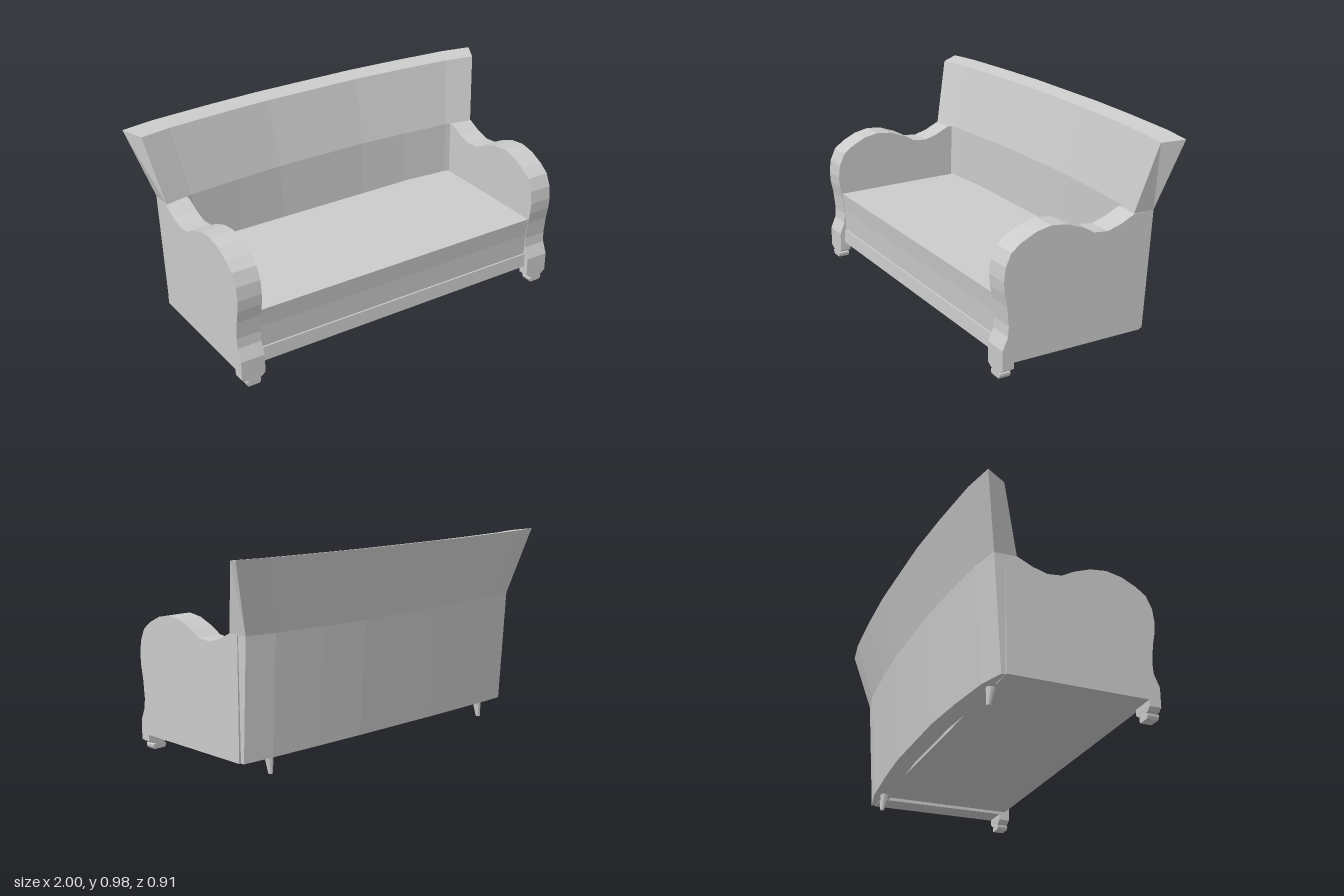
import * as THREE from 'three';

const material = new THREE.MeshStandardMaterial({ color: 0xcccccc, flatShading: true });

function add(parent, name, geometry) {
  const mesh = new THREE.Mesh(geometry, material);
  mesh.name = name;
  parent.add(mesh);
  return mesh;
}

function extrude(points, depth) {
  const shape = new THREE.Shape(points.map(([a, b]) => new THREE.Vector2(a, b)));
  return new THREE.ExtrudeGeometry(shape, { depth, bevelEnabled: false });
}

// Extrude a side profile of [z, y] points across x, ending at xMax
function sideExtrude(points, xMax, width) {
  return extrude(points, width).rotateY(-Math.PI / 2).translate(xMax, 0, 0);
}

// Bowed, flaring backrest lofted from one cross-section per station
function backrestGeometry() {
  const stations = [[-1, 0], [-0.84, 0.03], [-0.55, 0.053], [-0.27, 0.068],
    [0.27, 0.068], [0.55, 0.053], [0.84, 0.03], [1, 0]];
  // half width, y, z at the ends, rise with the bow
  const section = [[0.885, 0.075, -0.285, 0.3], [0.892, 0.64, -0.317, 0], [1, 0.975, -0.388, 0],
    [0.95, 0.962, -0.292, 0], [0.89, 0.638, -0.21, 0], [0.885, 0.075, -0.2, 0.22]];
  const n = section.length;
  const positions = [];
  for (const [t, bow] of stations) {
    for (const [w, y, z, rise] of section) positions.push(w * t, y + bow * rise, z - bow);
  }
  const index = [];
  const quad = (a, b, c, d) => index.push(a, b, c, a, c, d);
  for (let i = 0; i < stations.length - 1; i++) {
    for (let k = 0; k < n; k++) {
      const a = i * n + k, d = i * n + (k + 1) % n;
      quad(a, d, d + n, a + n);
    }
  }
  const e = (stations.length - 1) * n;
  quad(e, e + 1, e + 4, e + 5);
  quad(e + 1, e + 2, e + 3, e + 4);
  quad(5, 4, 1, 0);
  quad(4, 3, 2, 1);
  const geometry = new THREE.BufferGeometry();
  geometry.setAttribute('position', new THREE.Float32BufferAttribute(positions, 3));
  geometry.setIndex(index);
  geometry.computeVertexNormals();
  return geometry;
}

export function createModel() {
  const sofa = new THREE.Group();
  sofa.name = 'sofa';

  add(sofa, 'backrest', backrestGeometry());

  // Seat cushion above a plain front rail
  add(sofa, 'seat', sideExtrude([[-0.255, 0.16], [0.42, 0.16], [0.425, 0.27], [0.435, 0.363],
    [-0.255, 0.365]], 0.77, 1.54));
  add(sofa, 'frontRail', sideExtrude([[-0.255, 0.09], [0.432, 0.09], [0.428, 0.16],
    [-0.255, 0.16]], 0.77, 1.54));

  // Scrolled side profile of an arm, with the front post running down to the foot
  const armProfile = [[-0.265, 0.075], [0.4, 0.075], [0.4, 0.045], [0.456, 0.045], [0.456, 0.14],
    [0.43, 0.2], [0.426, 0.25], [0.435, 0.34], [0.447, 0.4], [0.451, 0.455], [0.443, 0.52],
    [0.415, 0.58], [0.365, 0.617], [0.295, 0.65], [0.22, 0.665], [0.14, 0.655], [0.06, 0.625],
    [0, 0.592], [-0.07, 0.585], [-0.14, 0.605], [-0.21, 0.638], [-0.265, 0.638]];

  // Half outline of the carved front foot, mirrored about its middle
  const footHalf = [[0.03, 0], [0.036, 0.012], [0.036, 0.022], [0.024, 0.027], [0.042, 0.032],
    [0.058, 0.046]];
  const footOutline = [...footHalf, ...footHalf.map(([x, y]) => [-x, y]).reverse()];

  for (const side of [1, -1]) {
    const label = side > 0 ? 'left' : 'right';

    // Arms splay outwards a little towards the back
    const arm = sideExtrude(armProfile, side > 0 ? 0.885 : -0.765, 0.12);
    const p = arm.attributes.position;
    for (let i = 0; i < p.count; i++) {
      p.setX(i, p.getX(i) + side * 0.014 * (0.456 - p.getZ(i)));
    }
    arm.computeVertexNormals();
    add(sofa, label + 'Arm', arm);

    add(sofa, label + 'FrontFoot', extrude(footOutline, 0.055).translate(side * 0.825, 0, 0.401));

    // Tapered rear leg raked backwards
    const leg = new THREE.CylinderGeometry(0.024, 0.011, 0.1, 10).translate(0, 0.05, 0);
    leg.applyMatrix4(new THREE.Matrix4().set(
      1, 0, 0, side * 0.726,
      0, 1, 0, 0,
      0, 0.13, 1, -0.276,
      0, 0, 0, 1));
    add(sofa, label + 'RearLeg', leg);
  }
  return sofa;
}
